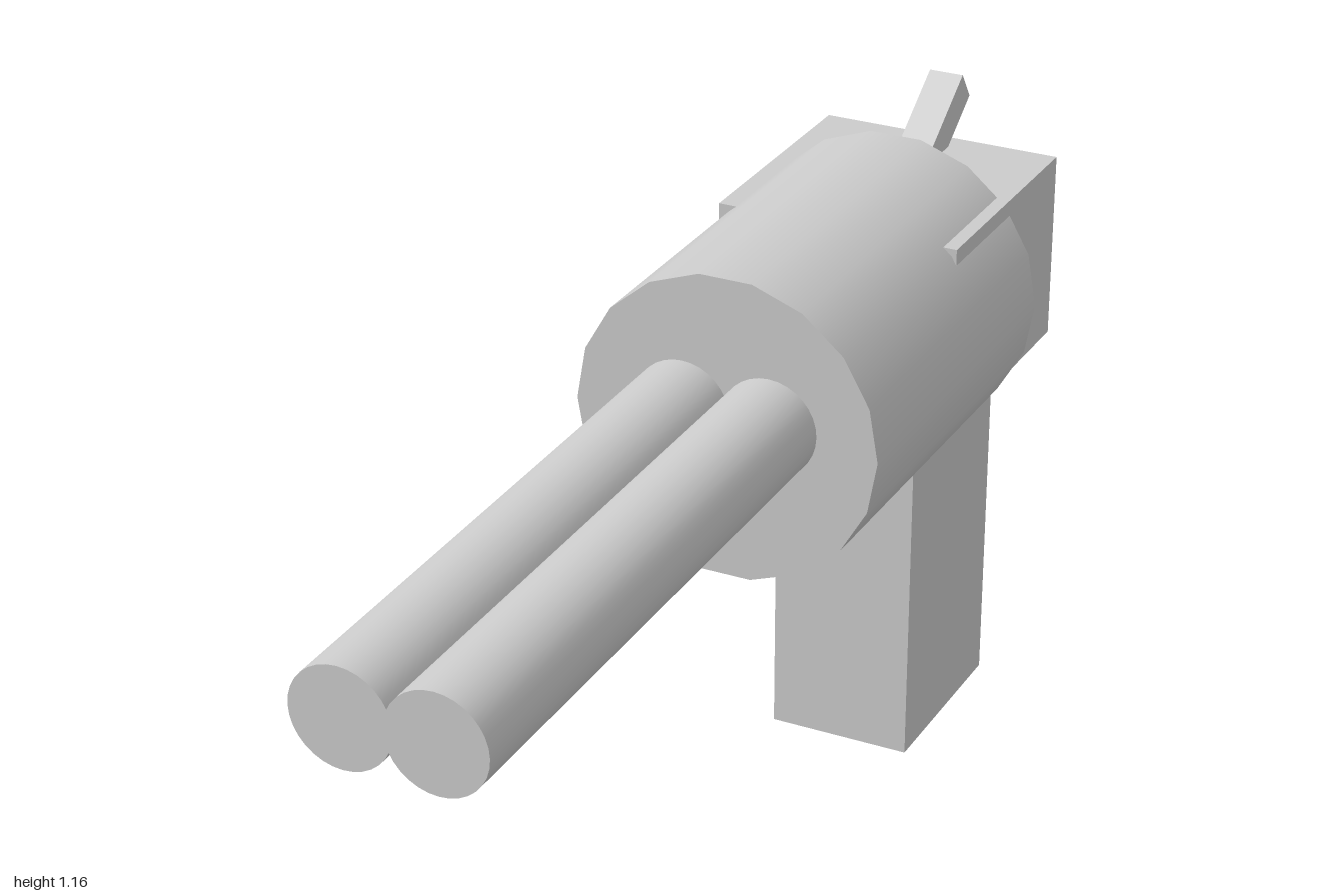
import * as THREE from 'three';

export function createModel() {
  const model = new THREE.Group();
  const material = new THREE.MeshStandardMaterial({ color: 0xcccccc });

  const add = (name, geometry, x, y, z, tilt = 0) => {
    const mesh = new THREE.Mesh(geometry, material);
    mesh.name = name;
    mesh.position.set(x, y, z);
    mesh.rotation.x = tilt;
    model.add(mesh);
  };

  // Eighteen-sided drum, lying along z with a corner on each side
  add('drum', new THREE.CylinderGeometry(0.272, 0.272, 0.67, 18, 1, false, Math.PI / 2),
    0, 0.857, -0.4, Math.PI / 2);

  // Twin overlapping barrels, drooping very slightly towards the muzzle
  for (const [name, side] of [['leftBarrel', 1], ['rightBarrel', -1]]) {
    add(name, new THREE.CylinderGeometry(0.086, 0.086, 1.3, 32),
      side * 0.078, 0.875, 0.35, Math.PI / 2 + 0.01);
  }

  // Rear frame, whose upper corners break through the drum
  add('frame', new THREE.BoxGeometry(0.443, 0.34, 0.45), -0.004, 0.875, -0.725);

  // Upright grip
  add('grip', new THREE.BoxGeometry(0.265, 0.8, 0.354), -0.005, 0.4, -0.734);

  // Hammer leaning backwards out of the frame
  add('hammer', new THREE.BoxGeometry(0.063, 0.062, 0.3), -0.004, 1.049, -0.859, 0.614);

  return model;
}
